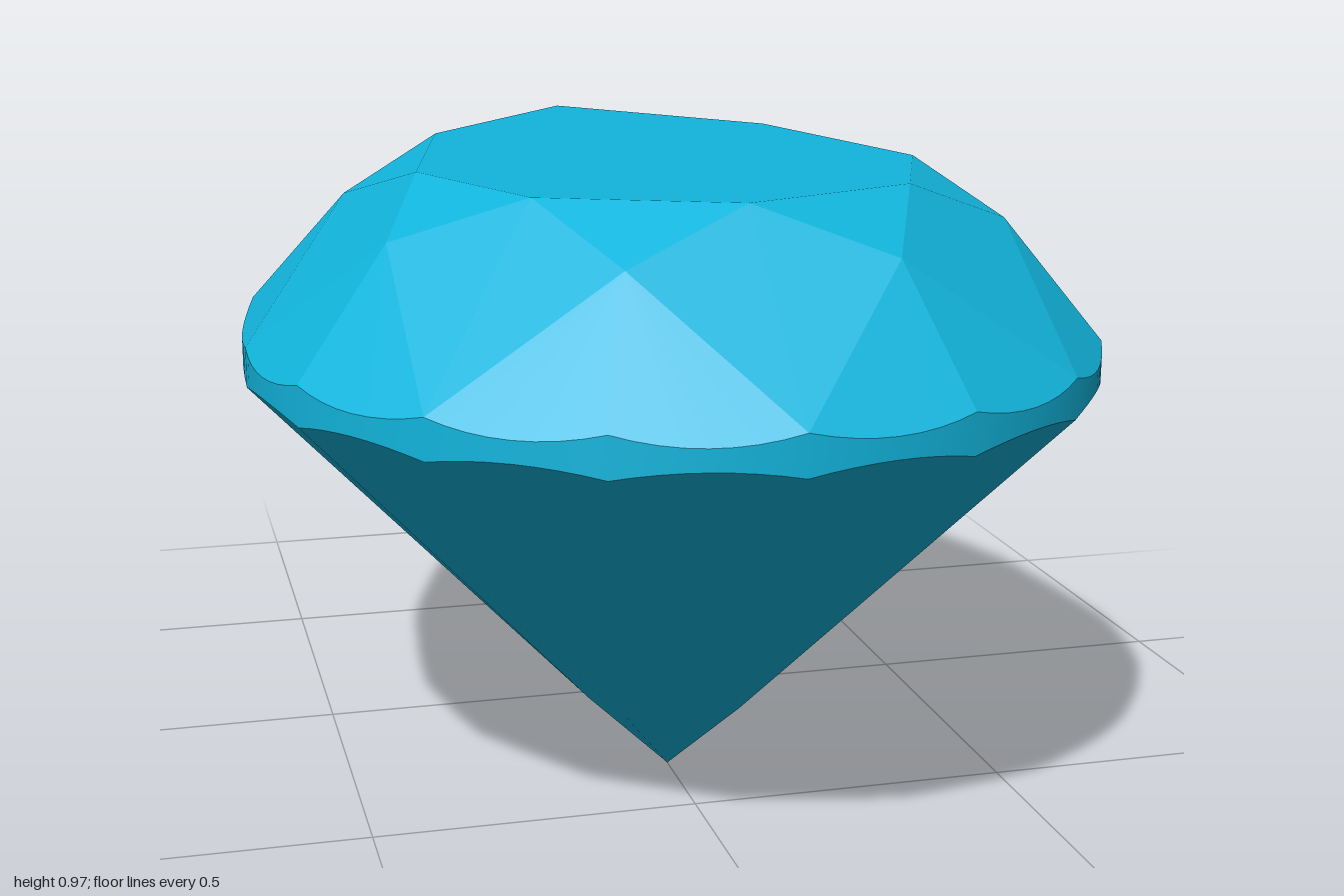
import * as THREE from 'three';

const W = 0.645, ZC = 0.335, FRONT = 0.665, BACK = 1.335;
const TABLE_Y = 0.97, STAR_Y = 0.9, TOP_Y = 0.72, LOW_Y = 0.66;
const STEPS = 8; // outline steps per half facet
const R = (W * W + BACK * BACK) / (2 * W), SWEEP = Math.asin(BACK / R);

// Pear outline: k = 0 at the round front, 2 at the widest place, 4 at the back point
function outline(k, scale, y) {
  let x, z;
  if (k <= 2) {
    x = W * Math.sin(k * Math.PI / 4);
    z = FRONT * Math.cos(k * Math.PI / 4);
  } else {
    const a = (k - 2) / 2 * SWEEP;
    x = W - R * (1 - Math.cos(a));
    z = -R * Math.sin(a);
  }
  if (k === 4) x = 0;
  return new THREE.Vector3(x * scale, y, ZC + z * scale);
}

// Curve where the flat facet (apex and two girdle corners) meets the upright girdle wall
function scallop(apex, k, y) {
  const a = outline(k, 1, y), b = outline(k + 0.5, 1, y);
  const n = b.clone().sub(a).cross(apex.clone().sub(a));
  return Array.from({ length: STEPS + 1 }, (_, j) => {
    const p = outline(k + 0.5 * j / STEPS, 1, y);
    p.y = a.y - (n.x * (p.x - a.x) + n.z * (p.z - a.z)) / n.y;
    return p;
  });
}

const material = new THREE.MeshStandardMaterial({ color: 0x12b5dd });

// Flat facets from the triangles of the left half, mirrored to the right
function facetMesh(name, tris) {
  const points = [];
  for (const [a, b, c] of tris) {
    points.push(a, b, c);
    points.push(...[a, c, b].map(p => new THREE.Vector3(-p.x, p.y, p.z)));
  }
  const geometry = new THREE.BufferGeometry().setFromPoints(points);
  geometry.computeVertexNormals();
  const mesh = new THREE.Mesh(geometry, material);
  mesh.name = name;
  return mesh;
}

export function createModel() {
  const group = new THREE.Group();
  group.name = 'pearCutGem';

  // Corner rings of the facets
  const ks = [0, 1, 2, 3, 4];
  const table = ks.map(k => outline(k, 0.6, TABLE_Y));
  const stars = [[0.19, 0.81], [0.46, 0.525], [0.46, 0.05], [0.135, -0.615]]
    .map(([x, z]) => new THREE.Vector3(x, STAR_Y, z));
  const low = [0.924, 0.924, 0.93, 0.944, 0.951]
    .map((f, k) => outline(k, 0.2, LOW_Y * 0.2 * f));
  const center = new THREE.Vector3(0, TABLE_Y, ZC);
  const culet = new THREE.Vector3(0, 0, ZC);

  const tableTris = [], crown = [], pavilion = [], upper = [], lower = [];
  for (let i = 0; i < 4; i++) {
    const t0 = table[i], t1 = table[i + 1], s = stars[i];
    const mid = outline(i + 0.5, 1, LOW_Y);
    tableTris.push([center, t0, t1]);
    // star facet and the two half kites beside it
    crown.push([t0, s, t1], [t0, outline(i, 1, TOP_Y), s], [t1, s, outline(i + 1, 1, TOP_Y)]);
    // main pavilion facet
    pavilion.push([culet, mid, low[i]], [culet, low[i + 1], mid]);
    // girdle facets above and below
    for (const h of [0, 1]) {
      const up = scallop(s, i + h / 2, TOP_Y);
      const down = scallop(low[i + h], i + h / 2, LOW_Y);
      for (let j = 0; j < STEPS; j++) {
        crown.push([s, up[j], up[j + 1]]);
        pavilion.push([low[i + h], down[j + 1], down[j]]);
      }
      const skip = upper.length ? 1 : 0;
      upper.push(...up.slice(skip));
      lower.push(...down.slice(skip));
    }
  }
  group.add(facetMesh('table', tableTris), facetMesh('crown', crown), facetMesh('pavilion', pavilion));

  // Girdle: smooth upright band, left open at the back point to keep its edge sharp
  const fullLoop = half => [
    ...half.slice(1).reverse().map(p => new THREE.Vector3(-p.x, p.y, p.z)), ...half];
  const top = fullLoop(upper), bottom = fullLoop(lower), n = top.length, index = [];
  for (let j = 0; j < n - 1; j++) {
    index.push(n + j, n + j + 1, j + 1, n + j, j + 1, j);
  }
  const band = new THREE.BufferGeometry().setFromPoints([...top, ...bottom]);
  band.setIndex(index);
  band.computeVertexNormals();
  const girdle = new THREE.Mesh(band, material);
  girdle.name = 'girdle';
  group.add(girdle);

  return group;
}
